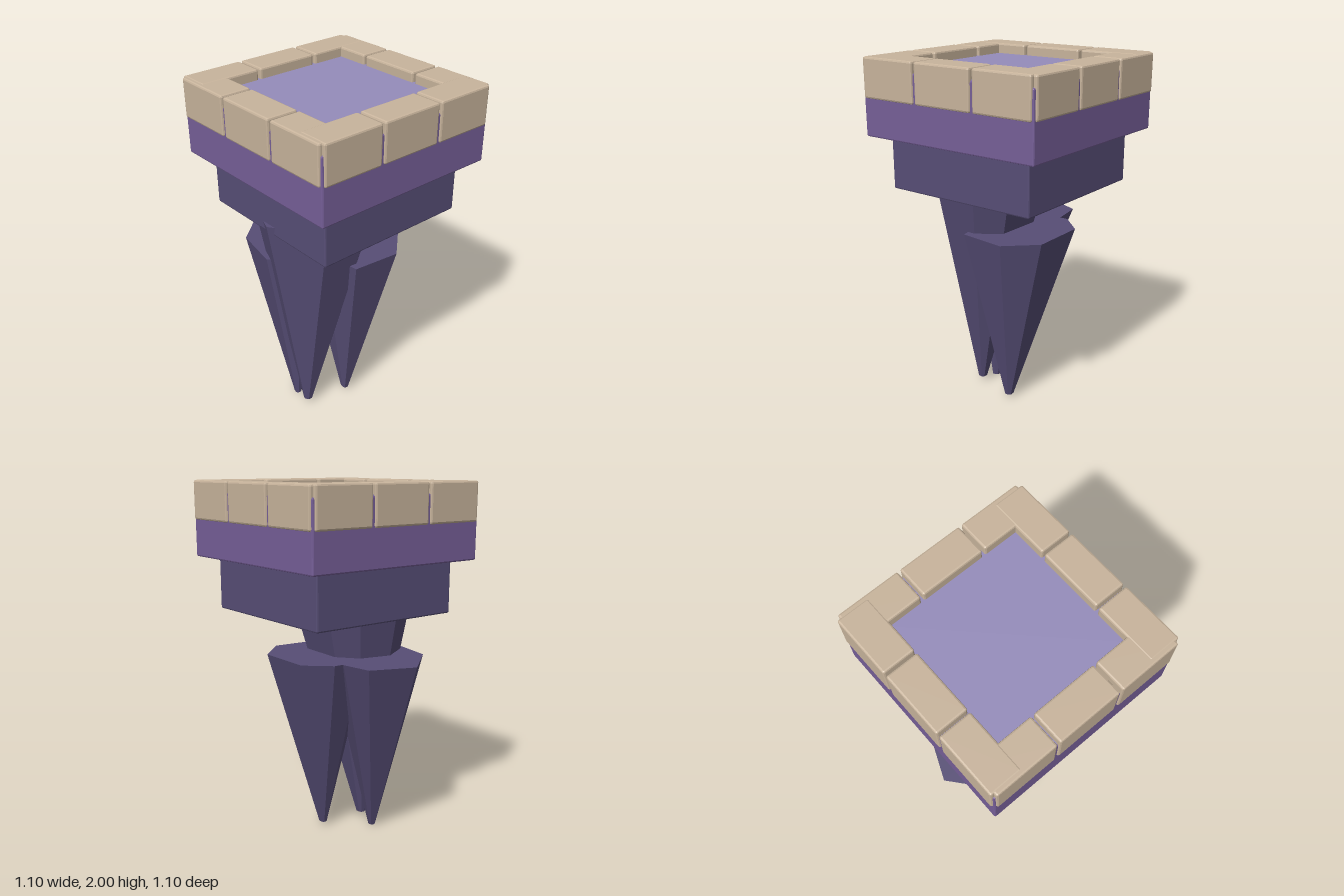
import * as THREE from 'three';
import { RoundedBoxGeometry } from 'three/addons/geometries/RoundedBoxGeometry.js';

const material = (name, color) => {
  const m = new THREE.MeshStandardMaterial({ color });
  m.name = name;
  return m;
};

// Faceted copy of a geometry, so that low-poly faces stay flat
function facet(geometry) {
  const g = geometry.index ? geometry.toNonIndexed() : geometry;
  g.computeVertexNormals();
  return g;
}

// Box with chamfered edges, given by its min and max corners
function chamferBox(min, max, bevel) {
  const size = max.map((v, i) => v - min[i]);
  const g = facet(new RoundedBoxGeometry(size[0], size[1], size[2], 1, bevel));
  return g.translate(...max.map((v, i) => (v + min[i]) / 2));
}

// Leaning spike: a flat polygon top [x, z] shrinking to a small blunt tip
function spikeGeometry(outline, topY, tip) {
  const n = outline.length;
  const cx = outline.reduce((s, p) => s + p[0], 0) / n;
  const cz = outline.reduce((s, p) => s + p[1], 0) / n;
  const top = outline.map(([x, z]) => [x, topY, z]);
  const low = outline.map(([x, z]) => [tip[0] + (x - cx) * 0.08, tip[1], tip[2] + (z - cz) * 0.08]);
  const pos = [];
  for (let i = 0; i < n; i++) {
    const j = (i + 1) % n;
    pos.push(...low[i], ...top[i], ...top[j], ...low[i], ...top[j], ...low[j]);
    pos.push(cx, topY, cz, ...top[j], ...top[i]);
    pos.push(...tip, ...low[i], ...low[j]);
  }
  const g = new THREE.BufferGeometry();
  g.setAttribute('position', new THREE.Float32BufferAttribute(pos, 3));
  return facet(g);
}

export function createModel() {
  const model = new THREE.Group();
  model.name = 'floatingPlatform';
  const stone = material('tan stone', 0xc8b49c);
  const purple = material('purple', 0x765f98);
  const lilac = material('lilac', 0x958cbb);
  const rock = material('dark violet rock', 0x574e76);

  const add = (name, geometry, mat, parent = model) => {
    const mesh = new THREE.Mesh(geometry, mat);
    mesh.name = name;
    parent.add(mesh);
    return mesh;
  };

  // Stacked slabs and floor
  add('lowerSlab', chamferBox([-0.45, 1.295, -0.45], [0.45, 1.58, 0.45], 0.008), rock);
  add('upperSlab', chamferBox([-0.542, 1.585, -0.542], [0.542, 1.94, 0.542], 0.008), purple);
  const floor = new THREE.BoxGeometry(1.066, 0.006, 1.066);
  add('floor', floor.translate(0, 1.941, 0), lilac);

  // Rim of three blocks on each side
  const rim = new THREE.Group();
  rim.name = 'rim';
  model.add(rim);
  const spans = [[-0.533, -0.192], [-0.177, 0.174], [0.19, 0.531]];
  for (const side of [-1, 1]) {
    const inner = side < 0 ? -0.552 : 0.377;
    const outer = inner + 0.175;
    for (const [a, b] of spans) {
      add('rimBlock', chamferBox([a, 1.788, inner], [b, 2, outer], 0.01), stone, rim);
      add('rimBlock', chamferBox([inner, 1.788, a], [outer, 1.998, b], 0.01), stone, rim);
    }
  }

  // Hanging rock spikes
  add('mainSpike', spikeGeometry([
    [0.15, -0.14], [0.14, 0.19], [-0.02, 0.31], [-0.3, 0.29],
    [-0.475, 0.02], [-0.38, -0.22], [-0.18, -0.335], [0.04, -0.28],
  ], 1.345, [-0.215, 0.035, 0]), rock);
  add('frontSpike', spikeGeometry([
    [0.33, -0.15], [0.33, 0.17], [0.17, 0.32], [-0.1, 0.29],
    [-0.13, 0.05], [-0.1, -0.18], [0.02, -0.27], [0.2, -0.27],
  ], 1.06, [0.032, 0.02, 0.055]), rock);
  add('backSpike', spikeGeometry([
    [0.15, -0.28], [0.08, -0.06], [-0.1, 0.05], [-0.28, 0.04],
    [-0.4, -0.1], [-0.35, -0.36], [-0.12, -0.552], [0.12, -0.45],
  ], 1.06, [-0.2, 0, -0.115]), rock);

  return model;
}
